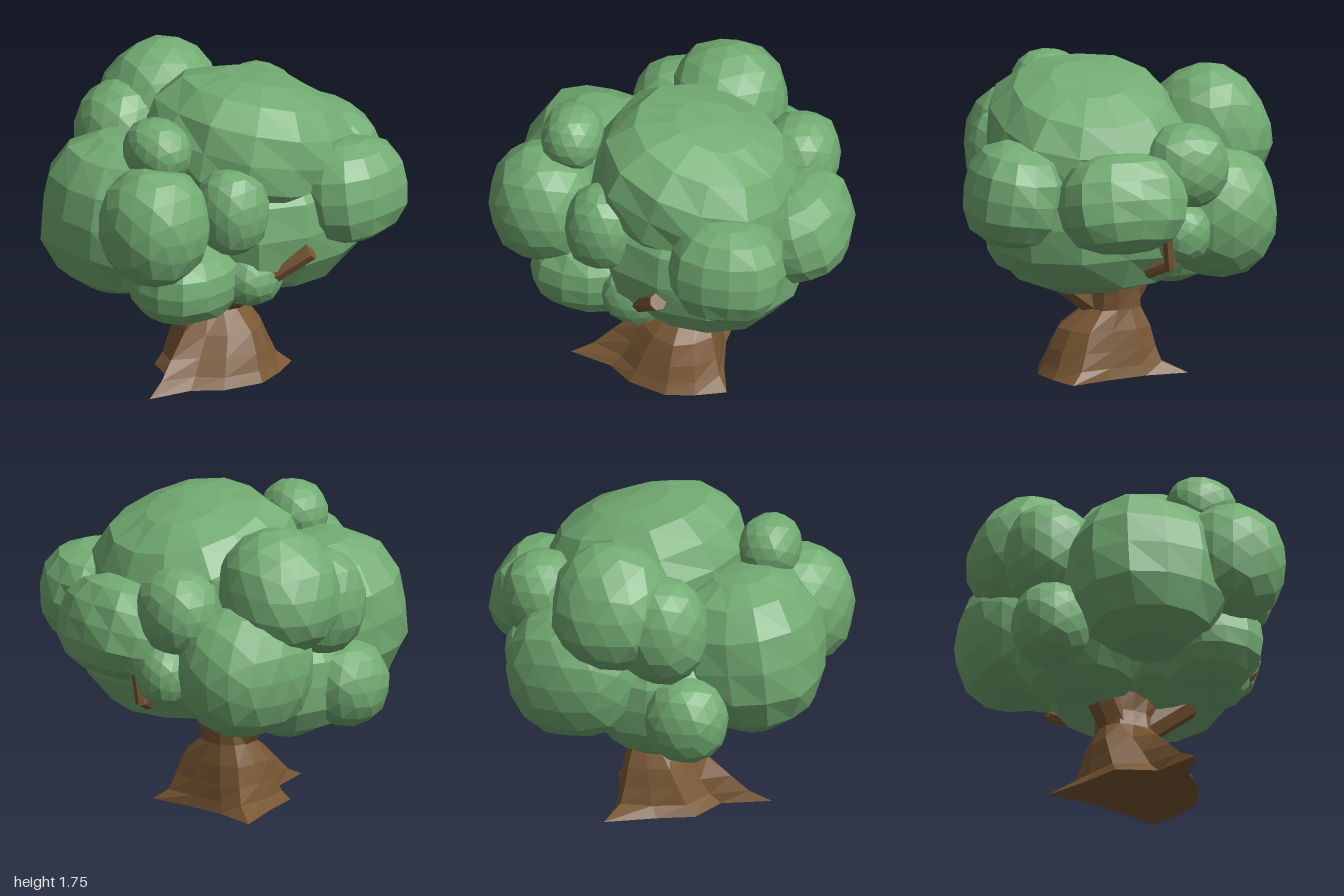
import * as THREE from 'three';
import { mergeVertices } from 'three/addons/utils/BufferGeometryUtils.js';

const leafGreen = new THREE.MeshStandardMaterial({ color: 0x73ac73, flatShading: true });
leafGreen.name = 'leafGreen';
const barkBrown = new THREE.MeshStandardMaterial({ color: 0x7a5834, flatShading: true });
barkBrown.name = 'barkBrown';

// Faceted ellipsoid: coarse sphere for broad clumps, icosahedron for small ones
function clump(name, [x, y, z], [rx, ry, rz], coarse = false, tilt = 0, lean = 0) {
  let g = coarse ? new THREE.SphereGeometry(1, 13, 8) : new THREE.IcosahedronGeometry(1, 2);
  g.deleteAttribute('uv');
  g.deleteAttribute('normal');
  g = mergeVertices(g, 1e-3);
  const p = g.attributes.position;
  const v = new THREE.Vector3();
  for (let i = 0; i < p.count; i++) {
    v.fromBufferAttribute(p, i);
    const bump = Math.sin(v.x * 5 + x * 17) * Math.sin(v.y * 6 + y * 13) * Math.cos(v.z * 5 + z * 11);
    // slightly squared, with gentle lumps
    const m = Math.pow(v.x ** 4 + v.y ** 4 + v.z ** 4, coarse ? -0.1 : -0.05);
    v.multiplyScalar(m * (1 + 0.03 * bump));
    p.setXYZ(i, v.x * rx, v.y * ry, v.z * rz);
  }
  g.computeVertexNormals();
  const mesh = new THREE.Mesh(g, leafGreen);
  mesh.name = name;
  mesh.position.set(x, y, z);
  mesh.rotation.set(tilt, 0, lean);
  return mesh;
}

// Trunk: star-shaped root outline blending into a round waist
function trunkGeometry() {
  // x, z and how quickly the root narrows (smaller is quicker)
  const roots = [
    [0.39, -0.02, 1.2], [0.32, 0.2, 1.2], [0.2, 0.34, 1], [0.13, 0.58, 0.9], [0.02, 0.32, 1], [-0.2, 0.24, 0.9],
    [-0.28, 0.04, 0.7], [-0.41, -0.22, 0.4], [-0.17, -0.22, 0.8], [0.06, -0.27, 1], [0.28, -0.34, 0.7], [0.35, -0.18, 1.1],
  ];
  const n = roots.length;
  // height, blend to waist, waist centre x, z, radius x, z
  const rings = [
    [0, 0, 0, -0.05, 0.17, 0.14], [0.06, 0.22, 0, -0.05, 0.2, 0.15], [0.15, 0.42, 0, -0.05, 0.21, 0.15],
    [0.26, 0.68, 0, -0.05, 0.21, 0.15], [0.37, 1, -0.02, -0.05, 0.16, 0.14],
    [0.46, 1, -0.02, -0.06, 0.15, 0.14], [0.56, 1, -0.02, -0.06, 0.19, 0.15], [0.7, 1, -0.02, -0.05, 0.2, 0.15],
  ];
  const pos = [];
  for (const [y, blend, cx, cz, rx, rz] of rings) {
    roots.forEach(([bx, bz, speed], i) => {
      const t = blend ** speed;
      const a = (i / n) * Math.PI * 2;
      const k = 1 + 0.06 * Math.sin(i * 2.4 + y * 9);
      pos.push(
        bx * (1 - t) + (cx + Math.cos(a) * rx * k) * t, y,
        bz * (1 - t) + (cz + Math.sin(a) * rz * k) * t);
    });
  }
  const idx = [];
  for (let r = 0; r < rings.length - 1; r++) {
    for (let i = 0; i < n; i++) {
      const a = r * n + i, b = r * n + ((i + 1) % n);
      idx.push(a, a + n, b, b, a + n, b + n);
    }
  }
  pos.push(0, 0, -0.05);
  for (let i = 0; i < n; i++) idx.push(rings.length * n, i, (i + 1) % n);
  const g = new THREE.BufferGeometry();
  g.setAttribute('position', new THREE.Float32BufferAttribute(pos, 3));
  g.setIndex(idx);
  g.computeVertexNormals();
  return g;
}

// Tapered branch between two points
function branch(name, from, to, r0, r1) {
  const a = new THREE.Vector3(...from), b = new THREE.Vector3(...to);
  const d = b.clone().sub(a);
  const mesh = new THREE.Mesh(new THREE.CylinderGeometry(r1, r0, d.length(), 7), barkBrown);
  mesh.name = name;
  mesh.position.copy(a).add(b).multiplyScalar(0.5);
  mesh.quaternion.setFromUnitVectors(new THREE.Vector3(0, 1, 0), d.normalize());
  return mesh;
}

export function createModel() {
  const tree = new THREE.Group();
  tree.name = 'tree';

  const trunk = new THREE.Mesh(trunkGeometry(), barkBrown);
  trunk.name = 'trunk';
  tree.add(
    trunk,
    branch('rightLimb', [-0.07, 0.38, -0.03], [-0.25, 0.68, 0.03], 0.1, 0.1),
    branch('leftLimb', [0.03, 0.36, -0.06], [0.34, 0.6, -0.02], 0.08, 0.08),
    branch('leftTwig', [0.56, 0.73, 0.09], [0.73, 0.89, -0.07], 0.055, 0.05),
    branch('backTwig', [-0.06, 0.69, -0.64], [-0.15, 0.76, -0.76], 0.035, 0.035),
    branch('backTwigTip', [-0.15, 0.74, -0.76], [-0.13, 0.95, -0.78], 0.035, 0.035),
  );

  const foliage = new THREE.Group();
  foliage.name = 'foliage';
  foliage.add(
    // broad masses
    clump('crown', [0.15, 1.34, -0.13], [0.55, 0.39, 0.56], true, -0.27),
    clump('core', [0.14, 0.97, -0.2], [0.59, 0.46, 0.58], true),
    clump('frontClump', [-0.14, 1.03, 0.54], [0.45, 0.45, 0.4], true, -0.12),
    clump('lowerRightClump', [-0.34, 0.8, 0.1], [0.36, 0.34, 0.38], true),
    clump('lowerFrontClump', [0.27, 0.73, 0.45], [0.28, 0.23, 0.31], true),
    clump('leftClump', [0.65, 1.13, -0.44], [0.27, 0.29, 0.32], true, 0, 0.15),
    clump('backClump', [0.11, 1.11, -0.73], [0.36, 0.28, 0.26], true, 0.3),
    // rounder clumps
    clump('frontLeftClump', [0.29, 1.13, 0.69], [0.3, 0.34, 0.3]),
    clump('topBall', [0.17, 1.5, 0.56], [0.2, 0.18, 0.17]),
    clump('leftBall', [0.5, 1.17, 0.31], [0.2, 0.25, 0.2]),
    clump('lowerLeftBall', [0.44, 0.72, 0.13], [0.19, 0.17, 0.19]),
    clump('upperRightClump', [-0.57, 1.36, -0.13], [0.31, 0.36, 0.33], false, 0, -0.5),
    clump('rightShoulder', [-0.56, 1.25, 0.15], [0.25, 0.3, 0.26]),
    clump('backRightClump', [-0.53, 0.95, -0.34], [0.33, 0.38, 0.39]),
    clump('lowerRightBall', [-0.61, 0.76, 0.31], [0.22, 0.24, 0.23]),
    clump('backBall', [-0.28, 1.27, -0.61], [0.24, 0.24, 0.22]),
    clump('lowerBackBall', [-0.24, 0.91, -0.67], [0.16, 0.17, 0.16]),
  );
  tree.add(foliage);
  return tree;
}
